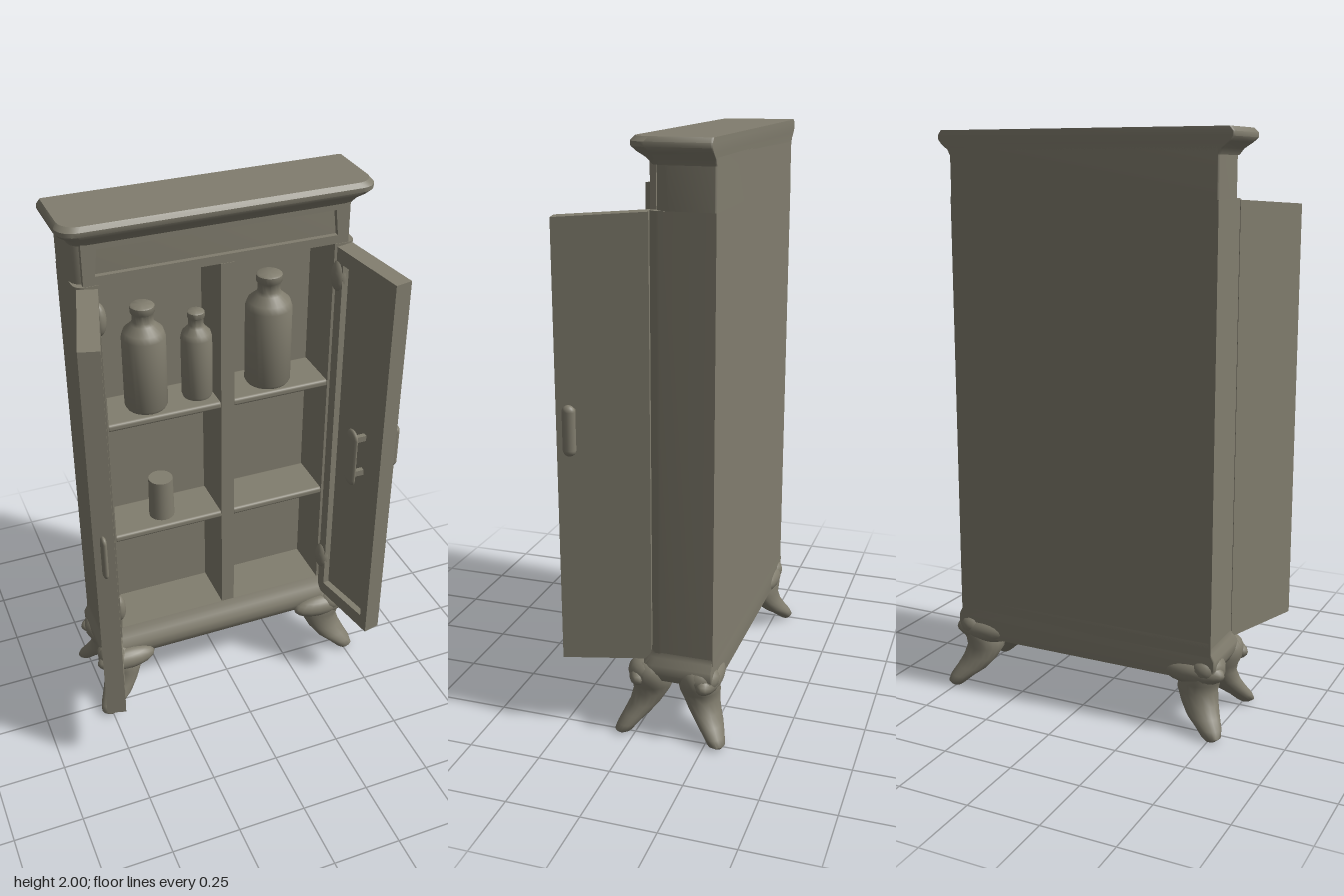
import * as THREE from 'three';
import { toCreasedNormals } from 'three/addons/utils/BufferGeometryUtils.js';
import { RoundedBoxGeometry } from 'three/addons/geometries/RoundedBoxGeometry.js';

const clay = new THREE.MeshStandardMaterial({ color: 0x817d6e });
clay.name = 'stoneGrey';
const BACK = -0.27, FRONT = -0.05, MID_Z = -0.125;

function add(parent, name, geometry, x = 0, y = 0, z = 0) {
  const mesh = new THREE.Mesh(geometry, clay);
  mesh.name = name;
  mesh.position.set(x, y, z);
  parent.add(mesh);
  return mesh;
}

// Skin a stack of closed rings (counterclockwise seen from the last ring) and cap both ends
function loft(rings, crease) {
  const n = rings[0].length, pos = [], idx = [];
  rings.forEach(r => r.forEach(p => pos.push(...p)));
  for (let i = 0; i < rings.length - 1; i++) {
    for (let j = 0; j < n; j++) {
      const a = i * n + j, b = i * n + (j + 1) % n;
      idx.push(a, b, a + n, b, b + n, a + n);
    }
  }
  [0, rings.length - 1].forEach(i => {
    const c = pos.length / 3, sum = [0, 0, 0];
    rings[i].forEach(p => p.forEach((v, k) => { sum[k] += v / n; }));
    pos.push(...sum);
    for (let j = 0; j < n; j++) {
      const a = i * n + j, b = i * n + (j + 1) % n;
      idx.push(c, ...(i === 0 ? [b, a] : [a, b]));
    }
  });
  const g = new THREE.BufferGeometry();
  g.setAttribute('position', new THREE.Float32BufferAttribute(pos, 3));
  g.setIndex(idx);
  g.computeVertexNormals();
  return toCreasedNormals(g, crease);
}

// Horizontal outline with rounded front corners and nearly square back corners
function plan([y, hx, zf, r = 0.05]) {
  const pts = [];
  const corners = [[1, zf, r, -1], [1, BACK, 0.006, 0], [-1, BACK, 0.006, 1], [-1, zf, r, 2]];
  corners.forEach(([s, z, rad, q]) => {
    for (let k = 0; k <= 6; k++) {
      const a = (q + k / 6) * Math.PI / 2;
      pts.push([s * (hx - rad) + rad * Math.cos(a), y, z + (z === BACK ? rad : -rad) - rad * Math.sin(a)]);
    }
  });
  return pts;
}
const moulding = sections => loft(sections.map(plan), 0.7);

function outline(points) {
  return new THREE.Shape(points.map(p => new THREE.Vector2(...p)));
}
function slab(shape, depth) {
  return new THREE.ExtrudeGeometry(shape, { depth, bevelEnabled: false }).translate(0, 0, -depth / 2);
}

function addCarcass(g) {
  // Walls, back and divider as one upright extrusion
  const s = new THREE.Shape();
  s.moveTo(-0.49, -BACK);
  s.lineTo(0.49, -BACK);
  s.lineTo(0.49, 0.09);
  s.quadraticCurveTo(0.49, 0.05, 0.45, 0.05);
  [[0.41, 0.05], [0.41, 0.235], [0.05, 0.235], [0.05, 0.05], [0, 0.05], [0, 0.235],
    [-0.41, 0.235], [-0.41, 0.05], [-0.45, 0.05]].forEach(p => s.lineTo(...p));
  s.quadraticCurveTo(-0.49, 0.05, -0.49, 0.09);
  const walls = new THREE.ExtrudeGeometry(s, { depth: 1.5, bevelEnabled: false, curveSegments: 8 });
  walls.rotateX(-Math.PI / 2);
  add(g, 'carcass', toCreasedNormals(walls, 0.6), 0, 0.28, 0);

  add(g, 'base', moulding([[0.19, 0.46, -0.04], [0.205, 0.49, -0.02], [0.235, 0.505, -0.01],
    [0.265, 0.505, -0.012], [0.29, 0.492, -0.03], [0.31, 0.49, -0.042], [0.33, 0.488, FRONT]]));
  add(g, 'frieze', moulding([[1.78, 0.49, -0.07], [1.94, 0.49, -0.07]]));
  add(g, 'cornice', moulding([[1.915, 0.49, -0.055], [1.935, 0.5, -0.04], [1.955, 0.525, -0.014, 0.06],
    [1.97, 0.537, -0.001, 0.06], [1.985, 0.537, 0, 0.06], [2, 0.525, -0.012, 0.06]]));

  // Raised border around the frieze panel
  const border = outline([[-0.46, 1.78], [0.46, 1.78], [0.46, 1.93], [-0.46, 1.93]]);
  border.holes.push(outline([[-0.42, 1.81], [-0.41, 1.9], [0.41, 1.9], [0.42, 1.81]]));
  add(g, 'friezeBorder', slab(border, 0.02), 0, 0, -0.062);

  // Two shelves on each side of the divider
  for (const y of [1.237, 0.757]) {
    add(g, 'leftShelf', new RoundedBoxGeometry(0.37, 0.028, 0.185, 2, 0.01), 0.23, y, -0.145);
    add(g, 'rightShelf', new RoundedBoxGeometry(0.42, 0.028, 0.185, 2, 0.01), -0.205, y, -0.145);
  }
}

// Open door from hinge (x0,z0) to free edge (x1,z1), with a recessed inner panel
function addDoor(g, name, side, x0, z0, x1, z1, t) {
  const door = new THREE.Group();
  door.name = name;
  const L = Math.hypot(x1 - x0, z1 - z0), top = 1.775, end = 1.755, low = 0.265, m = 0.035;
  const frame = outline([[0, low + 0.01], [L, low], [L, end], [0, top]]);
  const hole = [[m, low + 0.06], [L - m, low + 0.06], [L - m, end - 0.05], [m, top - 0.055]];
  frame.holes.push(outline(hole));
  add(door, 'doorFrame', slab(frame, t));
  add(door, 'doorPanel', slab(outline(hole), t * 0.6), 0, 0, -side * t * 0.2);
  door.position.set(x0, 0, z0);
  door.rotation.y = Math.atan2(-(z1 - z0), x1 - x0);
  g.add(door);
  // Hinge knuckles inside the opening
  for (const y of [1.67, 0.45]) {
    const k = add(g, 'hinge', new THREE.SphereGeometry(0.04, 14, 10), side * 0.425, y, -0.035);
    k.scale.set(0.7, 1.5, 0.8);
  }
}

// Vertical bar pull; posts reach from the bar along x by dx
function addHandle(g, name, x, y, z, h, sx, sz, dx) {
  const bar = add(g, name, new THREE.CapsuleGeometry(0.5, 3, 6, 14), x, y, z);
  bar.scale.set(sx, h / 4, sz);
  if (!dx) return;
  for (const s of [-1, 1]) {
    add(g, name + 'Post', new THREE.BoxGeometry(Math.abs(dx), 0.022, 0.018), x + dx / 2, y + s * h * 0.32, z);
  }
}

// Clawed foot: rings [y, x, z, rx, rz] from toe to knee, mirrored to each corner
const FOOT = [[0, 0.505, 0.045, 0.018, 0.016], [0.012, 0.505, 0.04, 0.034, 0.03],
  [0.035, 0.49, 0.027, 0.045, 0.036], [0.065, 0.462, 0.005, 0.058, 0.045], [0.1, 0.44, -0.018, 0.065, 0.053],
  [0.14, 0.425, -0.035, 0.07, 0.062], [0.17, 0.428, -0.04, 0.074, 0.07], [0.2, 0.442, -0.04, 0.075, 0.07],
  [0.235, 0.452, -0.04, 0.066, 0.066], [0.265, 0.455, -0.045, 0.045, 0.045]];
function addFeet(g) {
  for (const sx of [1, -1]) {
    for (const sz of [1, -1]) {
      const rings = FOOT.map(([y, x, z, rx, rz]) => Array.from({ length: 18 }, (_, j) => {
        const a = j / 18 * Math.PI * 2;
        return [sx * x + rx * Math.cos(a), y, MID_Z + sz * (z - MID_Z) - rz * Math.sin(a)];
      }));
      const label = (sz > 0 ? 'front' : 'back') + (sx > 0 ? 'Left' : 'Right');
      add(g, label + 'Foot', loft(rings, 1.2));
      // Swelling that blends the knee into the base
      const b = add(g, label + 'Bracket', new THREE.SphereGeometry(1, 18, 12),
        sx * 0.415, 0.21, MID_Z + sz * 0.115);
      b.scale.set(0.115, 0.045, 0.045);
      const c = add(g, label + 'Knee', new THREE.SphereGeometry(1, 16, 12),
        sx * 0.46, 0.225, MID_Z + sz * 0.095);
      c.scale.set(0.058, 0.05, 0.065);
    }
  }
}

function bottle(r, h) {
  const neck = r * 0.48;
  const p = [[0, 0], [r * 0.92, 0], [r, 0.012], [r, h * 0.7], [r * 0.9, h * 0.76], [neck * 1.15, h * 0.82],
    [neck, h * 0.85], [neck, h * 0.92], [neck * 1.15, h * 0.935], [neck * 1.15, h * 0.99], [neck, h], [0, h]];
  return toCreasedNormals(new THREE.LatheGeometry(p.map(q => new THREE.Vector2(...q)), 24), 0.8);
}

export function createModel() {
  const g = new THREE.Group();
  g.name = 'cabinet';
  addCarcass(g);
  addDoor(g, 'leftDoor', 1, 0.445, -0.045, 0.51, 0.25, 0.064);
  addDoor(g, 'rightDoor', -1, -0.45, -0.045, -0.547, 0.3, 0.068);
  addHandle(g, 'outerHandle', 0.562, 1.085, 0.19, 0.17, 0.036, 0.045, -0.045);
  addHandle(g, 'innerHandle', 0.417, 1.045, 0.155, 0.23, 0.024, 0.07, 0.05);
  addHandle(g, 'edgeHandle', -0.55, 0.995, 0.308, 0.17, 0.02, 0.04, 0);
  addFeet(g);

  // Shelf contents
  add(g, 'largeBottle', bottle(0.076, 0.39), -0.245, 1.25, -0.14);
  add(g, 'smallBottle', bottle(0.055, 0.33), -0.056, 1.25, -0.14);
  add(g, 'tallBottle', bottle(0.083, 0.42), 0.215, 1.25, -0.145);
  add(g, 'cup', new THREE.CylinderGeometry(0.045, 0.047, 0.165, 20), -0.208, 0.85, -0.13);
  return g;
}
